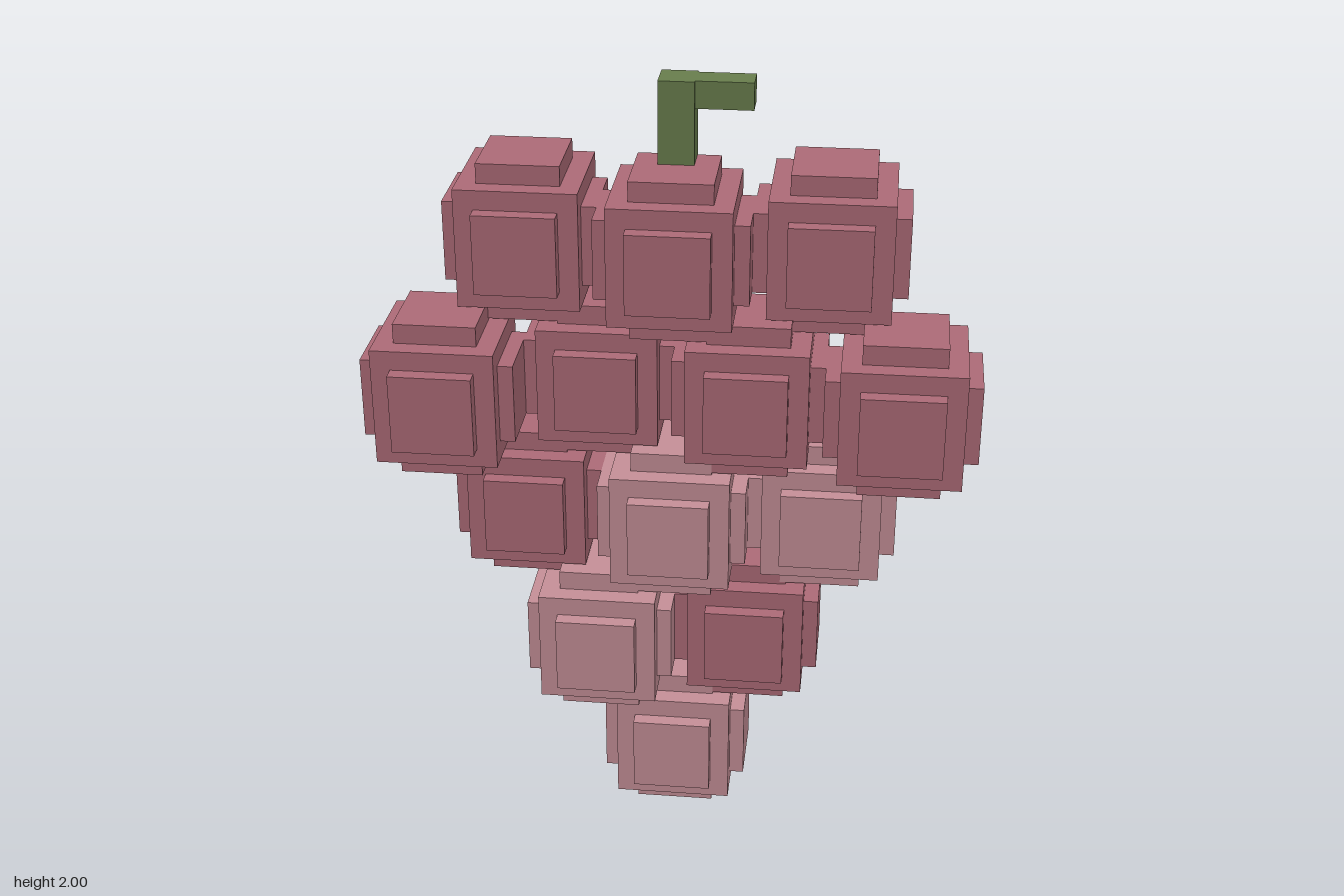
import * as THREE from 'three';

const material = (name, color) => {
  const m = new THREE.MeshStandardMaterial({ color });
  m.name = name;
  return m;
};

export function createModel() {
  const dark = material('darkGrape', 0xab6a76);
  const light = material('lightGrape', 0xc48e96);
  const green = material('stemGreen', 0x687d4c);
  const model = new THREE.Group();
  model.name = 'grapeBunch';

  // Each grape is a cube with a raised plate on all six sides
  const grapeParts = {
    core: new THREE.BoxGeometry(0.296, 0.296, 0.296),
    sidePlates: new THREE.BoxGeometry(0.37, 0.2, 0.2),
    topAndBottomPlates: new THREE.BoxGeometry(0.2, 0.394, 0.2),
    frontAndBackPlates: new THREE.BoxGeometry(0.2, 0.2, 0.37),
  };

  function addGrape(x, y, z, mat) {
    const grape = new THREE.Group();
    grape.name = 'grape';
    for (const [name, geometry] of Object.entries(grapeParts)) {
      const mesh = new THREE.Mesh(geometry, mat);
      mesh.name = name;
      grape.add(mesh);
    }
    grape.position.set(x, y, z);
    model.add(grape);
  }

  // Rows from the bottom up; each grape is [depth, colour], spread evenly in x
  const back = -0.077, mid = 0.005, front = 0.077;
  const rows = [
    [[back, light]],
    [[mid, light], [back, dark]],
    [[back, dark], [mid, light], [back, light]],
    [[front, dark], [back, dark], [mid, dark], [front, dark]],
    [[back, dark], [mid, dark], [back, dark]],
  ];
  rows.forEach((row, r) => row.forEach(([z, mat], i) => {
    addGrape((i - (row.length - 1) / 2) * 0.37, 0.198 + r * 0.351, z, mat);
  }));

  // Stem: an upright post with a short arm to one side
  const addStem = (name, w, h, d, x, y, z) => {
    const mesh = new THREE.Mesh(new THREE.BoxGeometry(w, h, d), green);
    mesh.name = name;
    mesh.position.set(x, y, z);
    model.add(mesh);
  };
  addStem('stemPost', 0.086, 0.25, 0.086, -0.001, 1.875, -0.061);
  addStem('stemArm', 0.14, 0.066, 0.07, 0.109, 1.967, -0.061);

  return model;
}
